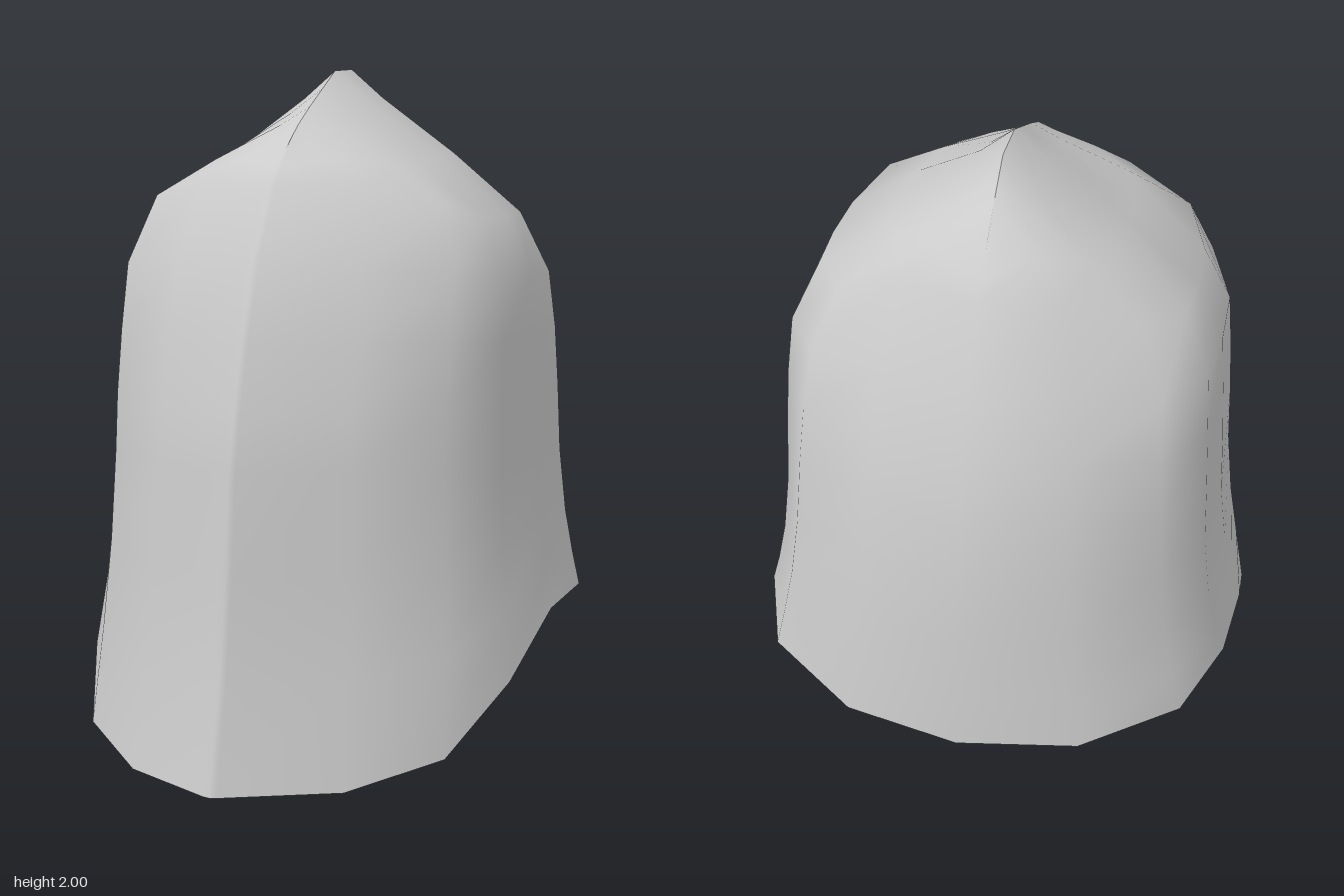
import * as THREE from 'three';

const { lerp } = THREE.MathUtils;

// Half outline, front to back: rim [x, z, y], fullness at the shoulder,
// then the crest point [z, y] the column climbs to and its roundness (0 tented, 1 domed)
const COLUMNS = [
  [0, 0.84, 0, 1, 0.25, 1.81, 0],
  [0.02, 0.834, 0, 1, 0.24, 1.815, 0],
  [0.33, 0.65, 0, 1, 0.19, 1.85, 0],
  [0.56, 0.45, 0.07, 1.06, 0.1, 1.9, 0],
  [0.67, 0.2, 0.25, 1.03, 0, 1.95, 0],
  [0.705, -0.08, 0.415, 1, -0.1, 2, 0],
  [0.705, -0.36, 0.435, 0.99, -0.235, 2, 0],
  [0.62, -0.6, 0.39, 0.93, -0.3, 1.945, 0.3],
  [0.35, -0.77, 0.335, 0.9, -0.35, 1.9, 0.4],
  [0, -0.84, 0.335, 1, -0.41, 1.84, 0],
];

// Wall rows from rim to shoulder: [front z, front y, side x, side y, back z, back y]
const ROWS = [
  [0.84, 0, 0.705, 0.435, -0.84, 0.335],
  [0.77, 0.3, 0.68, 0.53, -0.83, 0.5],
  [0.725, 0.6, 0.655, 0.66, -0.818, 0.7],
  [0.695, 0.9, 0.637, 0.85, -0.8, 0.9],
  [0.66, 1.06, 0.633, 1.05, -0.77, 1.08],
  [0.605, 1.25, 0.627, 1.23, -0.73, 1.25],
  [0.53, 1.47, 0.617, 1.4, -0.655, 1.45],
  [0.395, 1.69, 0.54, 1.58, -0.535, 1.7],
];
const TOP = ROWS.length - 1;

// Roof rows from shoulder to crest: [width left, rise when tented, rise when domed]
const ROOF = [[0.61, 0.41, 0.62], [0.185, 0.8, 0.96], [0, 1, 1]];

// Point on the wall: the rim height sets how far a column leans to the front or back profile,
// and the lean gathers toward the centre line higher up
function wallPoint([px, pz, rimY, fullness], r) {
  const [frontZ, frontY, sideX, sideY, backZ, backY] = ROWS[r];
  const front = pz > -0.36;
  const lean = ((0.435 - rimY) / (front ? 0.435 : 0.1)) ** lerp(1, 4, r / TOP);
  const swell = lerp(1, fullness, r / TOP);
  return [
    px / 0.705 * sideX * swell,
    lerp(sideY, front ? frontY : backY, lean),
    lerp(backZ, frontZ, (pz * swell + 0.84) / 1.68),
  ];
}

// Point on the roof, between the shoulder and the crest line
function roofPoint(column, [width, tented, domed]) {
  const [x, y, z] = wallPoint(column, TOP);
  const [crestZ, crestY, round] = column.slice(4);
  return [x * width, lerp(y, crestY, lerp(tented, domed, round)), lerp(crestZ, z, width)];
}

// Pointed shell, open below
function shellGeometry() {
  const loop = [...COLUMNS, ...COLUMNS.slice(1, -1).reverse().map(([x, ...rest]) => [-x, ...rest])];
  const n = loop.length, indices = [];
  const positions = [
    ...ROWS.flatMap((_, r) => loop.flatMap((column) => wallPoint(column, r))),
    ...ROOF.flatMap((row) => loop.flatMap((column) => roofPoint(column, row))),
  ];
  for (let r = 0; r < TOP + ROOF.length; r++) {
    for (let i = 0; i < n; i++) {
      const a = r * n + i, b = r * n + (i + 1) % n;
      indices.push(a, b, b + n, a, b + n, a + n);
    }
  }
  const geometry = new THREE.BufferGeometry();
  geometry.setAttribute('position', new THREE.Float32BufferAttribute(positions, 3));
  geometry.setIndex(indices);
  geometry.computeVertexNormals();
  return geometry;
}

export function createModel() {
  const group = new THREE.Group();
  group.name = 'helmet';
  const material = new THREE.MeshStandardMaterial({ color: 0xcccccc, side: THREE.DoubleSide });
  const shell = new THREE.Mesh(shellGeometry(), material);
  shell.name = 'helmetShell';
  group.add(shell);
  return group;
}
